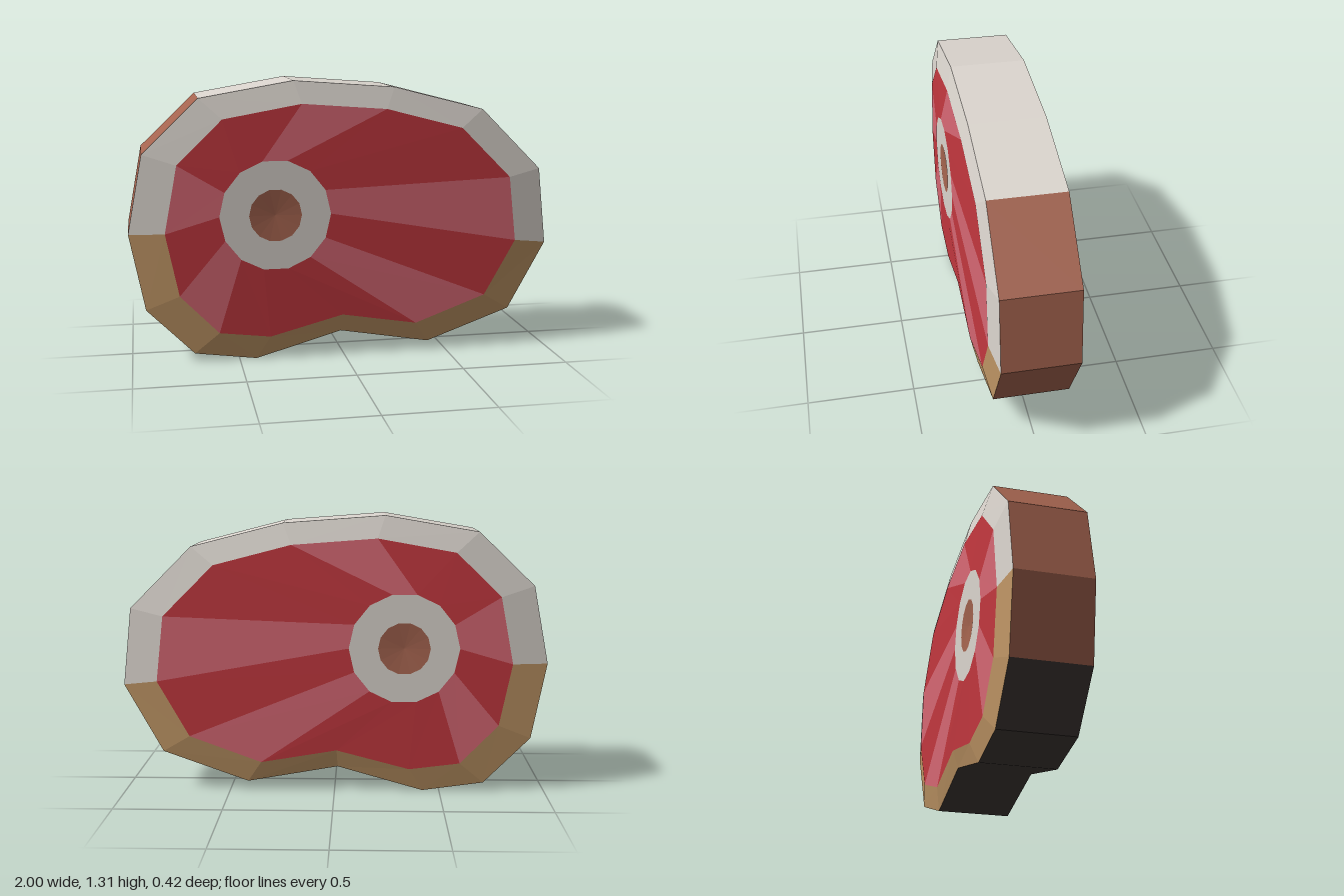
import * as THREE from 'three';

const mat = (name, color) => {
  const m = new THREE.MeshStandardMaterial({ color });
  m.name = name;
  return m;
};

// Outline of the steak, clockwise from the left tip
const OUTER = [
  [-1, 0.62], [-0.93, 0.985], [-0.67, 1.235], [-0.235, 1.31], [0.24, 1.275], [0.67, 1.165], [0.96, 0.875],
  [1, 0.51], [0.82, 0.185], [0.415, 0.04], [-0.015, 0.115], [-0.42, 0], [-0.71, 0.04], [-0.93, 0.26],
];
// Edge of the cut meat, point for point inside the outline
const INNER = [
  [-0.835, 0.62], [-0.775, 0.935], [-0.565, 1.14], [-0.2, 1.205], [0.2, 1.175], [0.565, 1.08], [0.805, 0.84],
  [0.84, 0.53], [0.69, 0.265], [0.35, 0.14], [-0.01, 0.2], [-0.355, 0.11], [-0.595, 0.14], [-0.775, 0.325],
];
const N = OUTER.length;
const BONE = [-0.327, 0.693];
const circle = (r) => OUTER.map((_, i) => {
  const a = Math.PI - (i / N) * Math.PI * 2;
  return [BONE[0] + r * Math.cos(a), BONE[1] + r * Math.sin(a)];
});
const at = (loop, z) => loop.map(([x, y]) => [x, y, z]);

// Flat-faced band between two loops, over the chosen segments
function band(name, material, a, b, segments, flip = false) {
  const pos = [];
  const tri = (p, q, r) => pos.push(...p, ...(flip ? r : q), ...(flip ? q : r));
  for (const i of segments) {
    const j = (i + 1) % N;
    tri(a[i], a[j], b[j]);
    if (b[i] !== b[j]) tri(a[i], b[j], b[i]);
  }
  const g = new THREE.BufferGeometry();
  g.setAttribute('position', new THREE.Float32BufferAttribute(pos, 3));
  g.computeVertexNormals();
  const mesh = new THREE.Mesh(g, material);
  mesh.name = name;
  return mesh;
}

export function createModel() {
  const fat = mat('fat white', 0xdcd6cf);
  const tan = mat('crust tan', 0xc59a68);
  const brown = mat('rind brown', 0xa5644f);
  const dark = mat('charred dark', 0x423a37);
  const red = mat('meat red', 0xc4383f);
  const pink = mat('marbling pink', 0xd86874);

  const all = OUTER.map((_, i) => i);
  const marbled = [0, 3, 6, 8, 12];
  const lean = all.filter((i) => !marbled.includes(i));
  const model = new THREE.Group();
  model.name = 'steak';

  // Rim around the slab
  const front = at(OUTER, 0.175), back = at(OUTER, -0.175);
  model.add(
    band('topRim', fat, front, back, [2, 3, 4]),
    band('sideRim', brown, front, back, [0, 1, 5, 6, 7, 13]),
    band('bottomRim', dark, front, back, [8, 9, 10, 11, 12]),
  );

  // Both cut faces
  for (const s of [1, -1]) {
    const face = new THREE.Group();
    face.name = s > 0 ? 'frontFace' : 'backFace';
    const rim = s > 0 ? front : back;
    const meat = at(INNER, 0.2 * s);
    const bone = at(circle(0.26), 0.21 * s);
    const hole = at(circle(0.123), 0.21 * s);
    const centre = [...BONE, 0.2 * s];
    const f = s > 0;
    face.add(
      band('fatBevel', fat, rim, meat, all.slice(0, 7), f),
      band('crustBevel', tan, rim, meat, all.slice(7), f),
      band('leanMeat', red, meat, bone, lean, f),
      band('marbling', pink, meat, bone, marbled, f),
      band('boneRing', fat, bone, hole, all, f),
      band('marrow', brown, hole, all.map(() => centre), all, f),
    );
    model.add(face);
  }
  return model;
}
